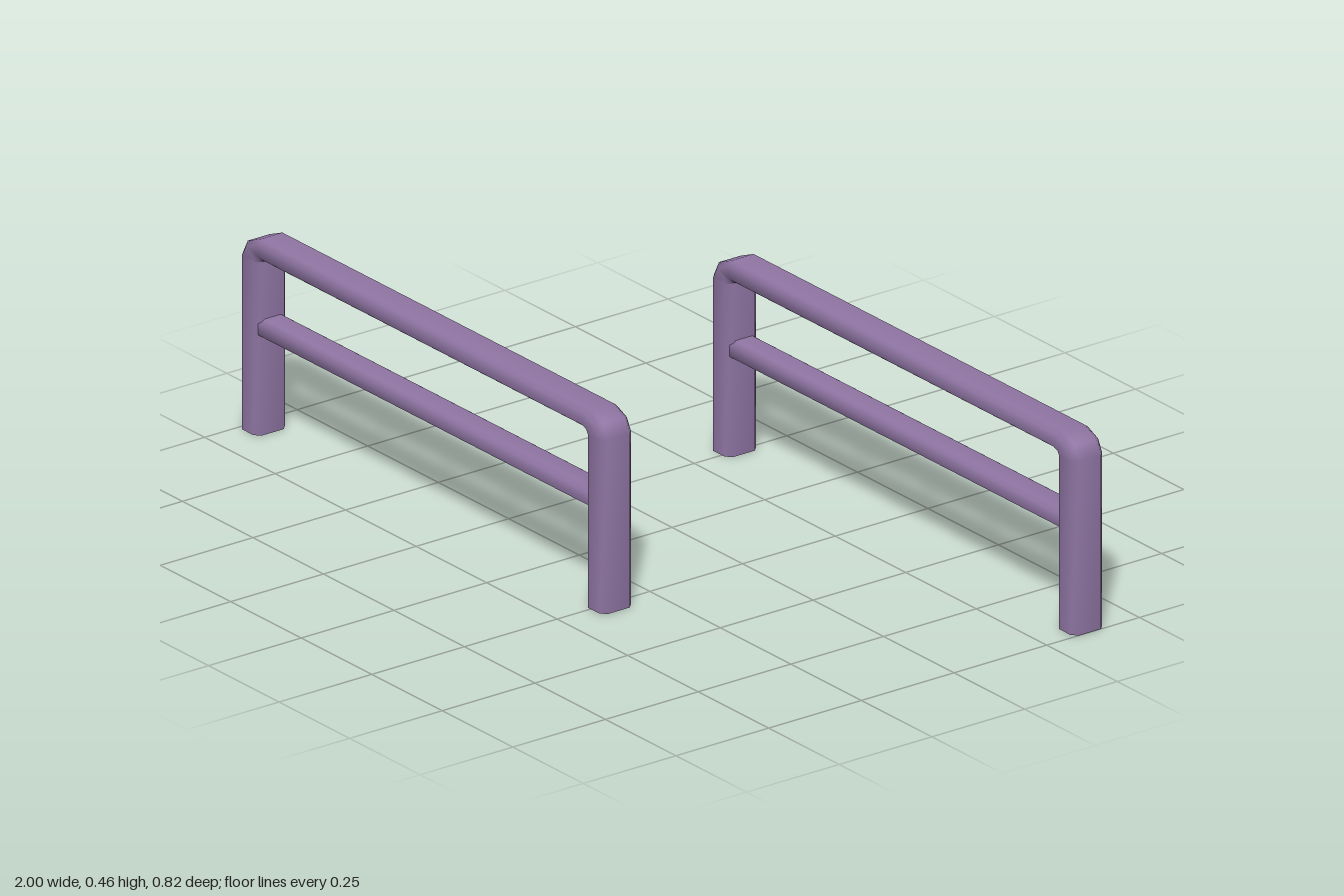
import * as THREE from 'three';

const material = new THREE.MeshStandardMaterial({ color: 0x8f75a3, side: THREE.DoubleSide });

// Sweeps a chamfered rectangle along rings given as [outerX, outerY, innerX, innerY].
function sweep(name, rings, depth) {
  const h = depth / 2, c = h - 0.013;
  const section = [[0, c], [0, -c], [0.2, -h], [0.8, -h], [1, -c], [1, c], [0.8, h], [0.2, h]];
  const n = section.length, positions = [], index = [];
  rings.forEach(([ox, oy, ix, iy], i) => {
    section.forEach(([u, z], j) => {
      positions.push(ox + (ix - ox) * u, oy + (iy - oy) * u, z);
      if (i === rings.length - 1) return;
      const a = i * n + j, b = i * n + (j + 1) % n;
      index.push(a, a + n, b, b, a + n, b + n);
    });
  });
  const geometry = new THREE.BufferGeometry();
  geometry.setAttribute('position', new THREE.Float32BufferAttribute(positions, 3));
  geometry.setIndex(index);
  geometry.computeVertexNormals();
  const mesh = new THREE.Mesh(geometry, material);
  mesh.name = name;
  return mesh;
}

function createBarrier(name) {
  const barrier = new THREE.Group();
  barrier.name = name;
  const half = 0.647, inner = half - 0.067;

  // Legs and top rail are one bent tube, open at the feet
  const left = [
    [-half, 0, -inner, 0],
    [-half, 0.405, -inner, 0.403],
    [-half + 0.017, 0.438, -inner + 0.003, 0.408],
    [-half + 0.062, 0.457, -inner + 0.01, 0.41],
  ];
  const right = left.map(([ox, oy, ix, iy]) => [-ox, oy, -ix, iy]).reverse();
  barrier.add(sweep('frame', [...left, ...right], 0.085));

  // Lower rail runs between the legs
  const end = inner + 0.01;
  barrier.add(sweep('lowerRail', [[-end, 0.27, -end, 0.225], [end, 0.27, end, 0.225]], 0.07));
  return barrier;
}

export function createModel() {
  const model = new THREE.Group();
  model.name = 'staggeredBarriers';
  // Two staggered barriers
  for (const [name, side] of [['frontBarrier', 1], ['backBarrier', -1]]) {
    const barrier = createBarrier(name);
    barrier.position.set(-0.353 * side, 0, 0.367 * side);
    model.add(barrier);
  }
  return model;
}
